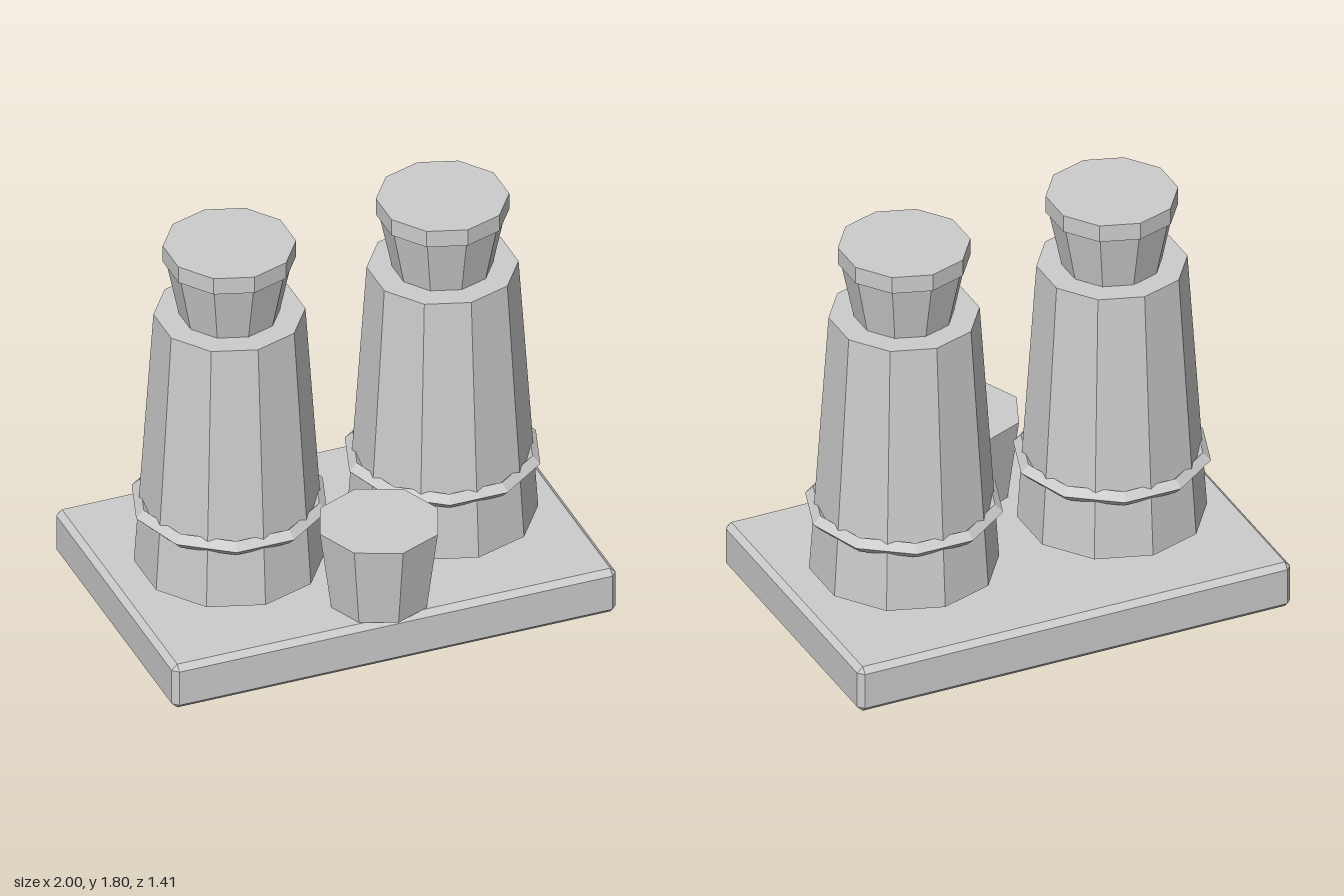
import * as THREE from 'three';
import { ConvexGeometry } from 'three/addons/geometries/ConvexGeometry.js';

export function createModel() {
  const model = new THREE.Group();
  const stone = new THREE.MeshStandardMaterial({ color: 0xcccccc, flatShading: true });
  stone.name = 'plainGrey';

  const add = (parent, name, geometry, x = 0, y = 0, z = 0) => {
    const mesh = new THREE.Mesh(geometry, stone);
    mesh.name = name;
    mesh.position.set(x, y, z);
    parent.add(mesh);
    return mesh;
  };

  // Tapered prism standing between two heights, one corner facing the front
  const prism = (parent, name, rTop, rBottom, y0, y1, sides, z = 0) =>
    add(parent, name, new THREE.CylinderGeometry(rTop, rBottom, y1 - y0, sides), 0, (y0 + y1) / 2, z);

  // Box with every edge and corner cut flat
  const chamferedBox = (w, h, d, c) => {
    const points = [];
    for (const sx of [-1, 1]) for (const sy of [-1, 1]) for (const sz of [-1, 1]) {
      const x = w / 2, y = h / 2, z = d / 2;
      points.push(
        new THREE.Vector3(sx * x, sy * (y - c), sz * (z - c)),
        new THREE.Vector3(sx * (x - c), sy * y, sz * (z - c)),
        new THREE.Vector3(sx * (x - c), sy * (y - c), sz * z));
    }
    return new ConvexGeometry(points);
  };

  // Base slab
  add(model, 'base', chamferedBox(2, 0.215, 1.328, 0.025), 0, 0.1075, -0.04);

  // Pair of towers
  for (const side of [-1, 1]) {
    const tower = new THREE.Group();
    tower.name = side > 0 ? 'leftTower' : 'rightTower';
    tower.position.set(side * 0.48, 0, -0.04);
    prism(tower, 'body', 0.318, 0.4, 0.245, 1.465, 10);
    prism(tower, 'neck', 0.266, 0.212, 1.465, 1.725, 10);
    prism(tower, 'cap', 0.279, 0.279, 1.725, 1.803, 10);
    const ring = add(tower, 'ring', new THREE.TorusGeometry(0.386, 0.034, 4, 10), 0, 0.536, 0);
    ring.rotation.x = Math.PI / 2;
    model.add(tower);
  }

  // Small flared block between the towers at the front
  prism(model, 'frontBlock', 0.266, 0.216, 0.215, 0.59, 8, 0.437);

  return model;
}
